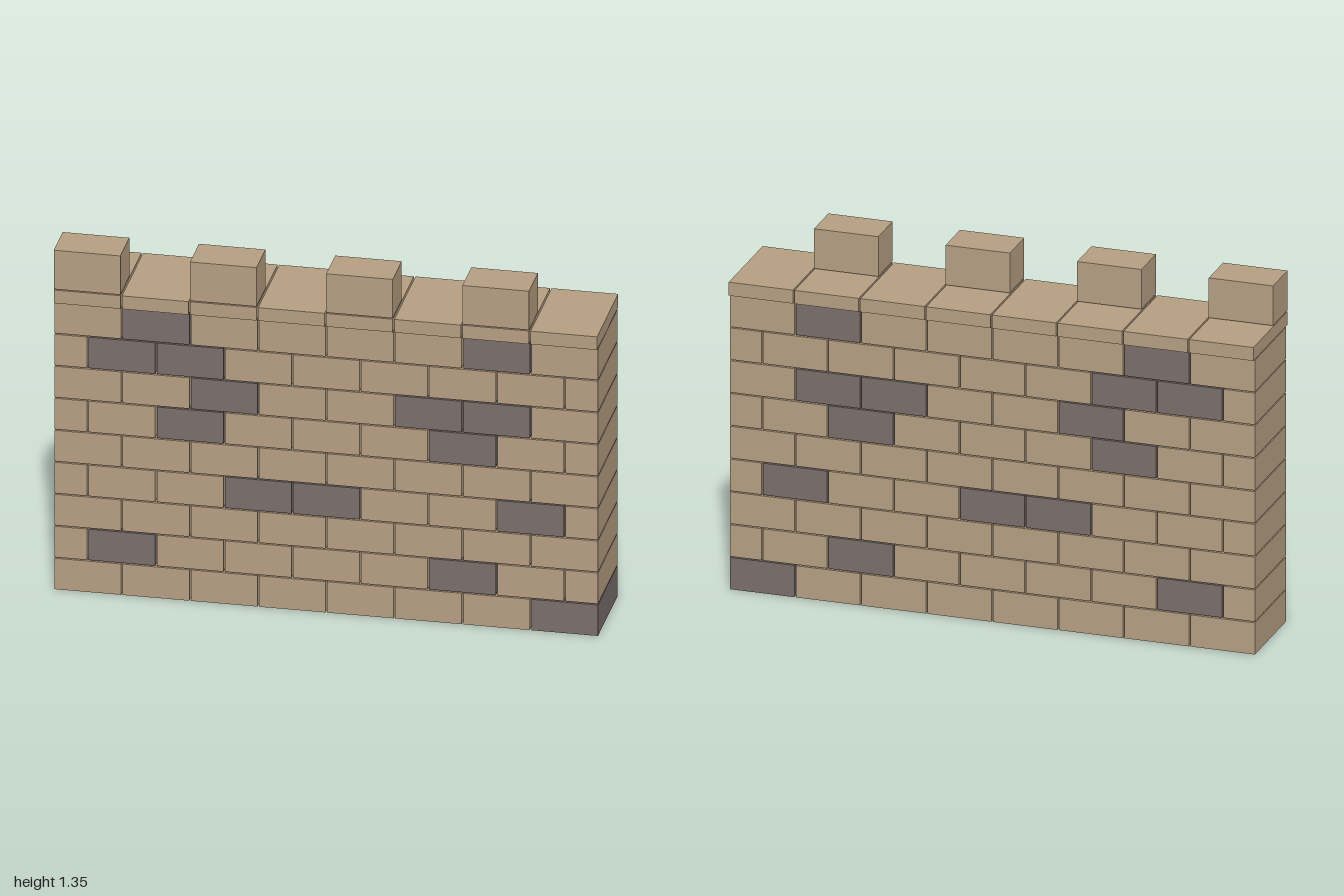
import * as THREE from 'three';

export function createModel() {
  const wall = new THREE.Group();
  wall.name = 'battlementWall';

  const sandstone = new THREE.MeshStandardMaterial({ name: 'sandstone', color: 0xb59e82 });
  const darkStone = new THREE.MeshStandardMaterial({ name: 'darkStone', color: 0x796d6a });

  // Box placed by its left edge, bottom edge and depth centre
  function block(parent, name, material, x, y, z, w, h, d) {
    const mesh = new THREE.Mesh(new THREE.BoxGeometry(w, h, d), material);
    mesh.name = name;
    mesh.position.set(x + w / 2, y + h / 2, z);
    parent.add(mesh);
  }

  const columns = 8;
  const brickW = 0.245, brickH = 0.1225, brickD = 0.347;
  const pitchX = (2 - brickW) / (columns - 1);
  const pitchY = 0.127;
  const halfW = brickW - pitchX / 2;

  // Dark brick columns in each course, bottom to top
  const darkBricks = [[7], [0, 5], [], [2, 3, 6], [], [1, 5], [2, 5, 6], [0, 1], [1, 6]];

  // Brick courses in running bond, with half bricks closing the shifted ones
  darkBricks.forEach((dark, row) => {
    const course = new THREE.Group();
    course.name = 'brickCourse' + (row + 1);
    wall.add(course);
    const shifted = row % 2 === 1;
    const y = row * pitchY;
    const start = shifted ? -1 + pitchX / 2 : -1;
    const count = shifted ? columns - 1 : columns;
    for (let i = 0; i < count; i++) {
      const material = dark.includes(i) ? darkStone : sandstone;
      block(course, 'brick', material, start + i * pitchX, y, 0, brickW, brickH, brickD);
    }
    if (shifted) {
      block(course, 'halfBrick', sandstone, -1, y, 0, halfW, brickH, brickD);
      block(course, 'halfBrick', sandstone, 1 - halfW, y, 0, halfW, brickH, brickD);
    }
  });

  // Overhanging coping slabs, with merlons on every second one at the front
  const capY = 1.142, capH = 0.052, capD = 0.378;
  const merlonD = 0.16;
  for (let i = 0; i < columns; i++) {
    const x = -1 + i * pitchX;
    block(wall, 'copingSlab', sandstone, x, capY, 0, brickW, capH, capD);
    if (i % 2 === 0) {
      block(wall, 'merlon', sandstone, x, 1.198, capD / 2 - merlonD / 2, brickW, 0.154, merlonD);
    }
  }

  return wall;
}
